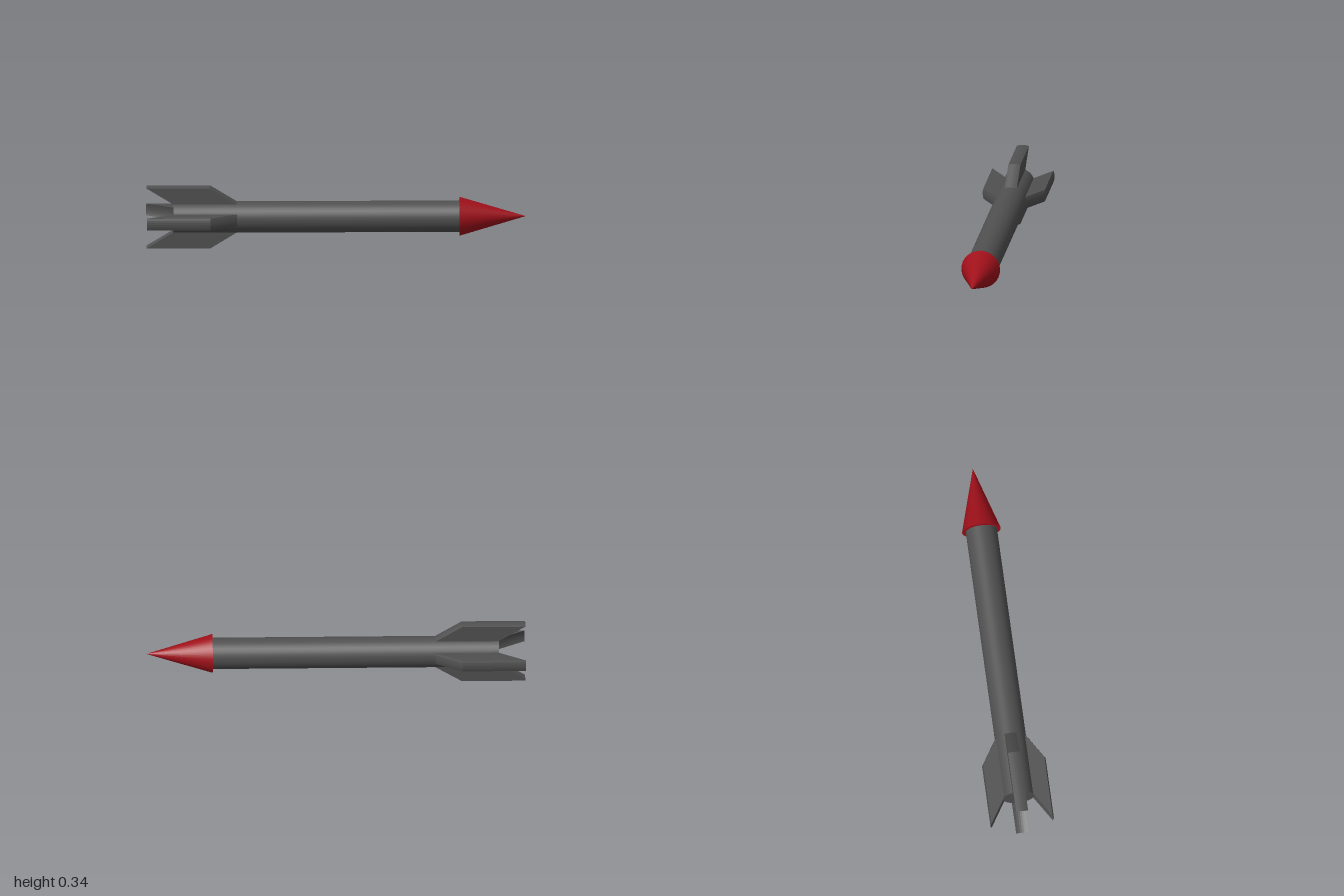
import * as THREE from 'three';

const AXIS_Y = 0.169;  // height of the long axis
const BODY_R = 0.083;
const FIN_HALF = 0.032;

export function createModel() {
  const model = new THREE.Group();
  model.name = 'rocket';
  const grey = new THREE.MeshStandardMaterial({ color: 0x505050 });
  const greyFlat = new THREE.MeshStandardMaterial({ color: 0x505050, flatShading: true });
  const red = new THREE.MeshStandardMaterial({ color: 0xa0101a });

  const add = (name, geometry, material) => {
    const mesh = new THREE.Mesh(geometry, material);
    mesh.name = name;
    mesh.position.y = AXIS_Y;
    model.add(mesh);
    return mesh;
  };

  // Round solid lying along x, from x0 to x1
  const alongX = (r0, r1, x0, x1) =>
    new THREE.CylinderGeometry(r1, r0, x1 - x0, 32)
      .rotateZ(-Math.PI / 2)
      .translate((x0 + x1) / 2, 0, 0);

  add('body', alongX(BODY_R, BODY_R, -0.86, 0.65), grey);
  add('noseCone', alongX(0.103, 0, 0.65, 1), red);

  // Swept fin; its root is sunk slightly into the body
  const outline = new THREE.Shape([
    [-0.855, 0.07], [-0.535, 0.07], [-0.525, BODY_R],
    [-0.665, 0.169], [-1, 0.169], [-0.86, BODY_R],
  ].map(([x, y]) => new THREE.Vector2(x, y)));
  const fin = new THREE.ExtrudeGeometry(outline, {
    depth: FIN_HALF * 2, steps: 6, bevelEnabled: false,
  }).translate(0, 0, -FIN_HALF);

  // Bow the fin across its thickness to the curve of the body
  const p = fin.attributes.position;
  for (let i = 0; i < p.count; i++) {
    const z = p.getZ(i);
    p.setY(i, p.getY(i) + Math.sqrt(BODY_R ** 2 - z * z) - BODY_R);
  }
  fin.computeVertexNormals();

  // Four fins around the tail
  ['finTop', 'finFront', 'finBottom', 'finBack'].forEach((name, i) => {
    add(name, fin, greyFlat).rotation.x = i * Math.PI / 2;
  });

  return model;
}
